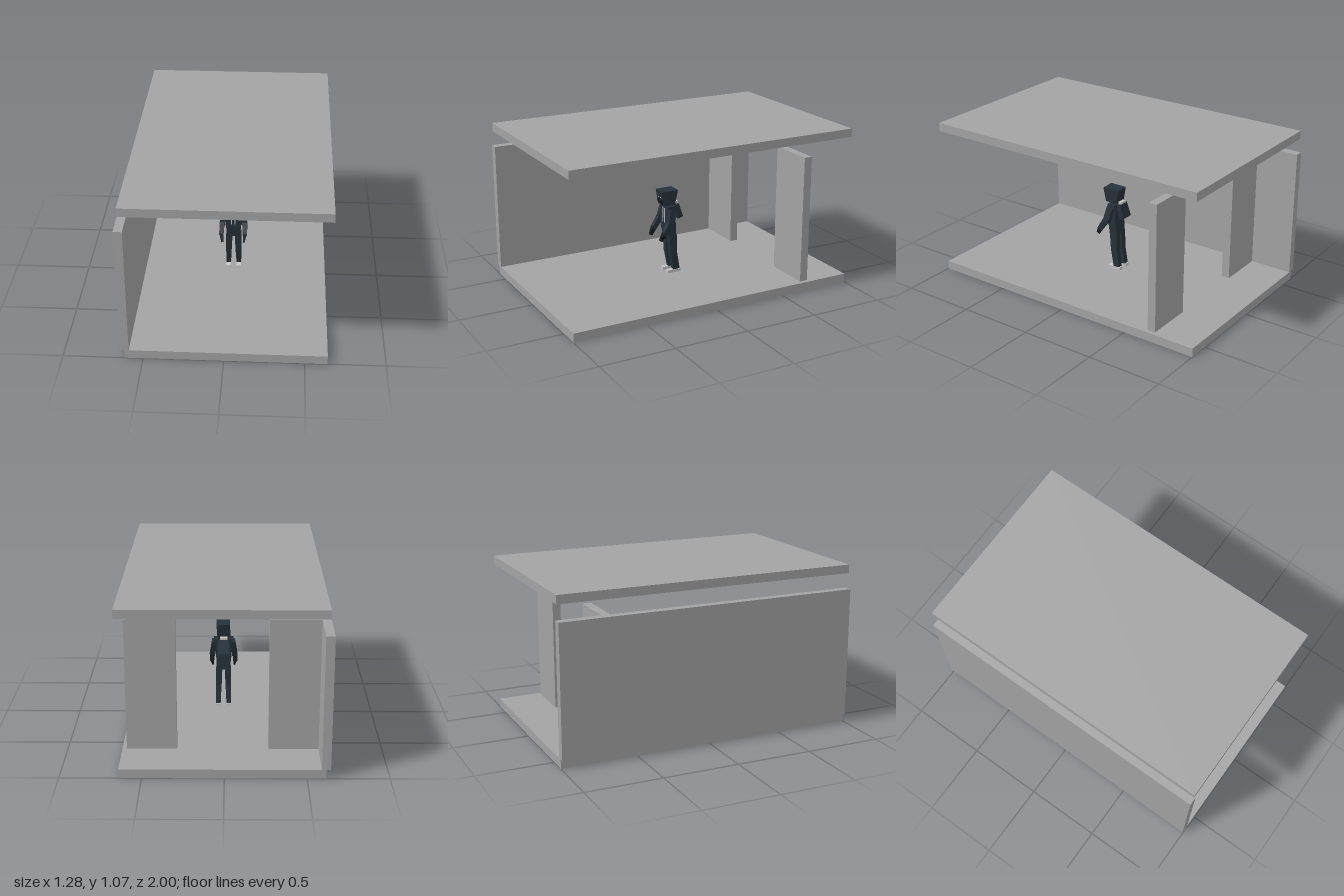
import * as THREE from 'three';

const mat = (name, color, side = THREE.FrontSide) =>
  Object.assign(new THREE.MeshStandardMaterial({ color, side }), { name });

export function createModel() {
  const stone = mat('stone grey', 0xa3a3a3);
  const lamp = mat('pale lamp', 0xcccfb8);
  const cloth = mat('dark slate cloth', 0x26313a);
  const glove = mat('black glove', 0x161b1f);
  const pale = mat('pale grey', 0xc4c5c4);

  const root = new THREE.Group();
  root.name = 'roomWithFigure';

  // Box given by its lower and upper limits on each axis
  function slab(parent, name, m, x0, x1, y0, y1, z0, z1) {
    const mesh = new THREE.Mesh(new THREE.BoxGeometry(x1 - x0, y1 - y0, z1 - z0), m);
    mesh.position.set((x0 + x1) / 2, (y0 + y1) / 2, (z0 + z1) / 2);
    mesh.name = name;
    parent.add(mesh);
    return mesh;
  }

  // Tapered square limb running from point a down to point b
  function limb(parent, name, m, a, b, wTop, dTop, wEnd = wTop, dEnd = dTop) {
    const va = new THREE.Vector3(...a), vb = new THREE.Vector3(...b);
    const dir = va.clone().sub(vb);
    const geo = new THREE.BoxGeometry(1, dir.length(), 1);
    const p = geo.attributes.position;
    for (let i = 0; i < p.count; i++) {
      const top = p.getY(i) > 0;
      p.setX(i, p.getX(i) * (top ? wTop : wEnd));
      p.setZ(i, p.getZ(i) * (top ? dTop : dEnd));
    }
    geo.computeVertexNormals();
    const mesh = new THREE.Mesh(geo, m);
    mesh.position.copy(va).add(vb).multiplyScalar(0.5);
    mesh.quaternion.setFromUnitVectors(new THREE.Vector3(0, 1, 0), dir.normalize());
    mesh.name = name;
    parent.add(mesh);
    return mesh;
  }

  // Room: floor, roof, one side wall, two back panels, ceiling lamp
  slab(root, 'floor', stone, -0.615, 0.64, 0, 0.058, -1, 1);
  slab(root, 'roof', stone, -0.615, 0.64, 1.015, 1.071, -1, 1);
  slab(root, 'sideWall', stone, -0.642, -0.587, 0.058, 0.913, -1, 1);
  slab(root, 'rightBackPanel', stone, -0.587, -0.273, 0.058, 0.913, -0.711, -0.656);
  slab(root, 'leftBackPanel', stone, 0.298, 0.612, 0.058, 0.913, -0.711, -0.656);
  slab(root, 'ceilingLamp', lamp, -0.13, 0.155, 0.908, 0.955, -0.165, 0.402);

  // Standing figure
  const figure = new THREE.Group();
  figure.name = 'figure';
  figure.position.x = 0.0125;
  root.add(figure);

  limb(figure, 'chest', cloth, [0, 0.53, 0.015], [0, 0.4, 0.02], 0.108, 0.066, 0.104, 0.06);
  limb(figure, 'hips', cloth, [0, 0.41, 0.016], [0, 0.315, 0.008], 0.1, 0.06, 0.092, 0.058);
  slab(figure, 'pocket', cloth, -0.037, 0.037, 0.365, 0.405, 0.035, 0.052);
  slab(figure, 'collar', cloth, -0.037, 0.037, 0.523, 0.542, -0.02, 0.046);
  limb(figure, 'hoodBack', cloth, [0, 0.535, -0.03], [0, 0.44, -0.056], 0.075, 0.03, 0.085, 0.04);
  slab(figure, 'hoodLining', pale, -0.025, 0.025, 0.534, 0.553, -0.045, -0.022);

  // Head, slightly turned and wider at the top
  const head = new THREE.Group();
  head.name = 'head';
  head.position.set(0, 0.59, 0.028);
  head.rotation.z = -0.04;
  figure.add(head);
  limb(head, 'skull', cloth, [0, 0.048, 0], [0, -0.048, 0], 0.09, 0.12, 0.086, 0.085);
  limb(head, 'jaw', glove, [0, -0.012, 0.014], [0, -0.047, 0.014], 0.07, 0.085, 0.06, 0.066);
  for (const s of [-1, 1]) {
    slab(head, 'eye', pale, s * 0.014 - 0.003, s * 0.014 + 0.003, 0.0, 0.006, 0.048, 0.0555);
  }

  for (const s of [-1, 1]) {
    const side = s > 0 ? 'left' : 'right';
    // Drawstring stripe down the chest
    slab(figure, side + 'Drawstring', pale, s * 0.012 - 0.003, s * 0.012 + 0.003, 0.41, 0.515, 0.045, 0.052);
    slab(figure, side + 'Shoulder', cloth, s * 0.048 - 0.017, s * 0.048 + 0.017, 0.515, 0.533, -0.012, 0.042);

    // Arm reaching forward
    limb(figure, side + 'UpperArm', cloth, [s * 0.061, 0.515, 0.016], [s * 0.076, 0.405, 0.044], 0.032, 0.046, 0.036, 0.042);
    limb(figure, side + 'Forearm', cloth, [s * 0.077, 0.425, 0.04], [s * 0.079, 0.348, 0.091], 0.034, 0.04, 0.028, 0.032);
    limb(figure, side + 'Hand', glove, [s * 0.079, 0.36, 0.085], [s * 0.072, 0.308, 0.113], 0.026, 0.034, 0.012, 0.024);

    // Leg and shoe
    limb(figure, side + 'Thigh', cloth, [s * 0.029, 0.325, 0.005], [s * 0.032, 0.19, 0.0], 0.042, 0.056, 0.037, 0.048);
    limb(figure, side + 'Shin', cloth, [s * 0.032, 0.2, 0.0], [s * 0.035, 0.077, -0.022], 0.037, 0.048, 0.031, 0.046);
    slab(figure, side + 'Shoe', pale, s * 0.035 - 0.016, s * 0.035 + 0.016, 0.058, 0.078, -0.05, 0.045);
  }
  return root;
}
